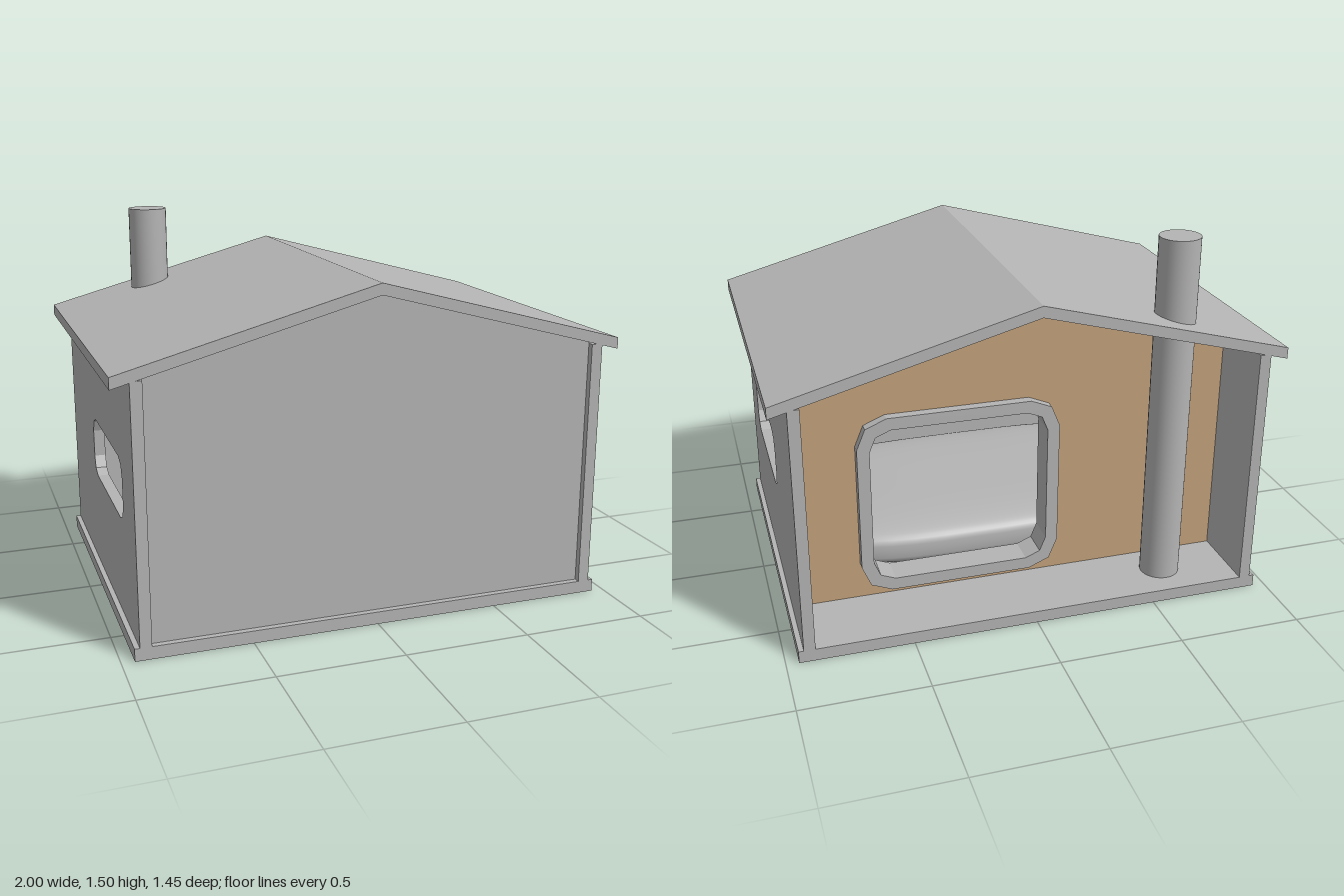
import * as THREE from 'three';

const grey = new THREE.MeshStandardMaterial({ color: 0xb4b4b4 });
grey.name = 'grey';
const tan = new THREE.MeshStandardMaterial({ color: 0xc2a27a });
tan.name = 'tan';

const T = 0.045; // panel thickness
const D = 0.725; // half depth

// Rectangle outline with corners cut in two segments
function softRect(Path, x0, y0, x1, y1, r) {
  const pts = [];
  const corners = [[x1 - r, y1 - r], [x0 + r, y1 - r], [x0 + r, y0 + r], [x1 - r, y0 + r]];
  corners.forEach(([cx, cy], i) => {
    for (let k = 0; k <= 2; k++) {
      const a = (i + k / 2) * Math.PI / 2;
      pts.push(new THREE.Vector2(cx + r * Math.cos(a), cy + r * Math.sin(a)));
    }
  });
  return new Path(pts);
}

function polygon(points) {
  return new THREE.Shape(points.map(([x, y]) => new THREE.Vector2(x, y)));
}

function extrude(shape, depth) {
  return new THREE.ExtrudeGeometry(shape, { depth, bevelEnabled: false });
}

// Outline that fits between the side walls and under the roof
function gable() {
  return polygon([[-0.885, 0.05], [0.885, 0.05], [0.885, 1.051], [0, 1.29], [-0.885, 1.051]]);
}

export function createModel() {
  const group = new THREE.Group();
  group.name = 'shelter';
  function add(name, geometry, material, x = 0, y = 0, z = 0) {
    const mesh = new THREE.Mesh(geometry, material);
    mesh.name = name;
    mesh.position.set(x, y, z);
    group.add(mesh);
    return mesh;
  }

  // Floor slab
  add('floor', new THREE.BoxGeometry(1.9, 0.05, D * 2), grey, 0, 0.025, 0);

  // Side walls with window openings
  const side = polygon([[-D, 0.05], [D, 0.05], [D, 1.045], [-D, 1.045]]);
  side.holes.push(softRect(THREE.Path, -0.165, 0.447, 0.49, 0.69, 0.067));
  const sideGeometry = extrude(side, T);
  add('leftWall', sideGeometry, grey, 0.93).rotation.y = -Math.PI / 2;
  add('rightWall', sideGeometry, grey, -0.885).rotation.y = -Math.PI / 2;

  // Pitched roof
  const roof = polygon([[-1, 1.02], [0, 1.29], [1, 1.02], [1, 1.065], [0, 1.335], [-1, 1.065]]);
  add('roof', extrude(roof, D * 2), grey, 0, 0, -D);

  // Front panel, slightly recessed
  add('frontPanel', extrude(gable(), T), grey, 0, 0, 0.7 - T);

  // Inner wall with a doorway, faced in tan on the porch side
  const inner = gable();
  inner.holes.push(softRect(THREE.Path, -0.145, 0.11, 0.625, 0.82, 0.1));
  add('innerWall', extrude(inner, T - 0.006), grey, 0, 0, -0.414);
  add('innerWallFacing', extrude(inner, 0.006), tan, 0, 0, -0.42);

  // Doorway frame
  const frame = softRect(THREE.Shape, -0.17, 0.085, 0.65, 0.845, 0.12);
  frame.holes.push(softRect(THREE.Path, -0.12, 0.135, 0.6, 0.795, 0.085));
  add('doorFrame', extrude(frame, 0.12), grey, 0, 0, -0.46);

  // Cushion: a sphere squared off and flattened
  const cushion = new THREE.SphereGeometry(1, 48, 32);
  const p = cushion.attributes.position;
  const square = (v) => Math.sign(v) * Math.pow(Math.abs(v), 0.55);
  for (let i = 0; i < p.count; i++) {
    p.setXYZ(i, square(p.getX(i)) * 0.84, square(p.getY(i)) * 0.1, square(p.getZ(i)) * 0.48);
  }
  cushion.computeVertexNormals();
  add('cushion', cushion, grey, 0, 0.15, 0.17);

  // Chimney pipe standing on the porch floor
  add('chimney', new THREE.CylinderGeometry(0.081, 0.081, 1.45, 32), grey, -0.593, 0.775, -0.56);

  return group;
}
